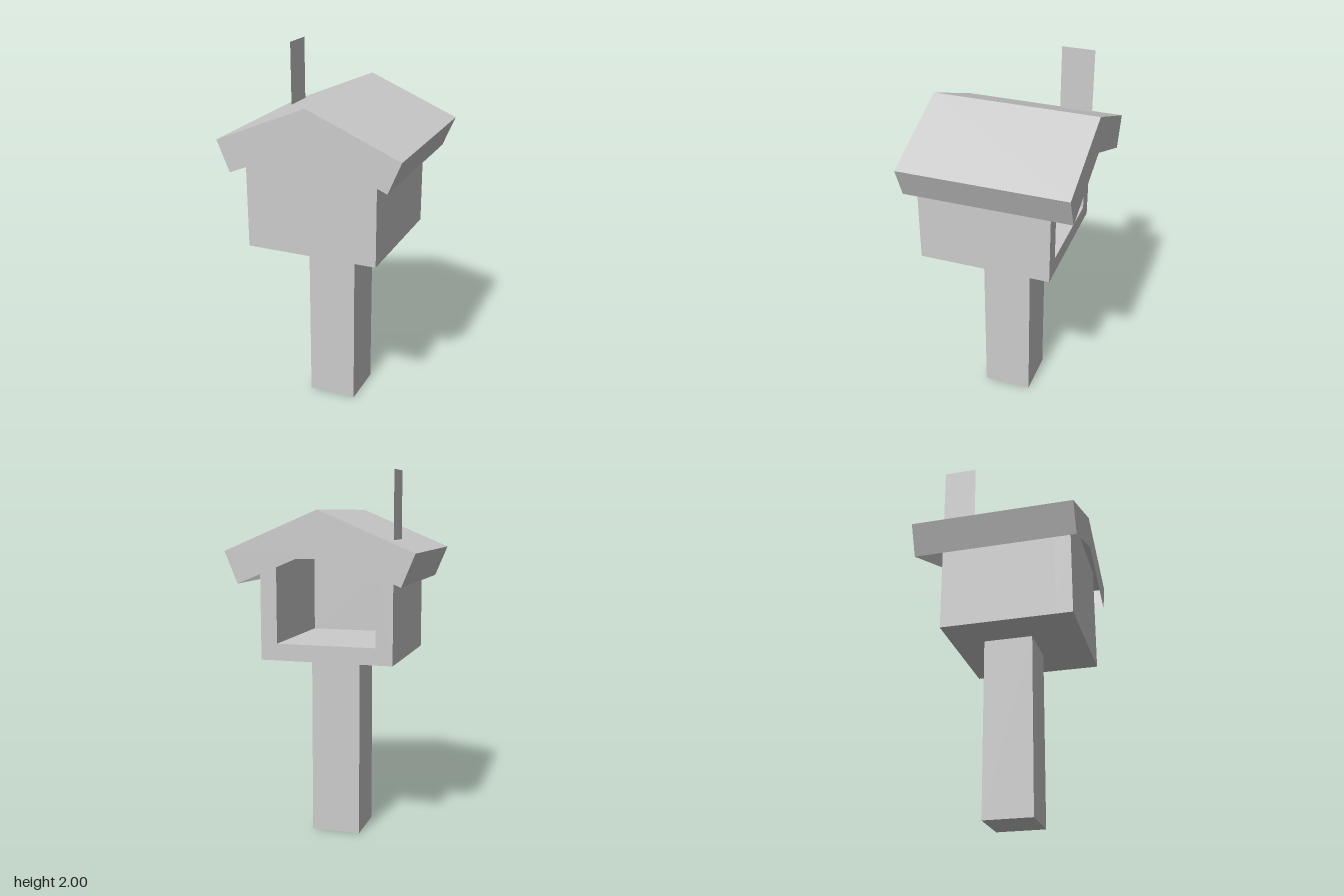
import * as THREE from 'three';

const U = 1 / 11; // building unit

export function createModel() {
  const model = new THREE.Group();
  model.name = 'postBox';
  const grey = new THREE.MeshStandardMaterial({ color: 0xcccccc, side: THREE.DoubleSide });
  grey.name = 'lightGrey';

  const add = (name, geometry, x = 0, y = 0, z = 0, parent = model) => {
    const mesh = new THREE.Mesh(geometry, grey);
    mesh.name = name;
    mesh.position.set(x, y, z);
    parent.add(mesh);
    return mesh;
  };

  // Square post
  add('post', new THREE.BoxGeometry(3 * U, 1, 3 * U), 0, 0.5, 0);

  // Box: a square tube open at the back, closed by a front wall
  const box = new THREE.Group();
  box.name = 'box';
  model.add(box);
  const rect = (shape, w, y0, y1) => {
    shape.moveTo(-w, y0).lineTo(w, y0).lineTo(w, y1).lineTo(-w, y1).closePath();
    return shape;
  };
  const tube = rect(new THREE.Shape(), 4 * U, 1, 1 + 7 * U);
  tube.holes.push(rect(new THREE.Path(), 3 * U, 1 + U, 1 + 6 * U));
  add('boxWalls', new THREE.ExtrudeGeometry(tube, { depth: 7 * U, bevelEnabled: false }), 0, 0, -3.5 * U, box);
  add('frontWall', new THREE.BoxGeometry(8 * U, 7 * U, U), 0, 1 + 3.5 * U, 4 * U, box);

  // Roof: slopes and eaves are one sheet, open underneath
  const roof = new THREE.Group();
  roof.name = 'roof';
  model.add(roof);
  const halfDepth = 5 * U;
  const profile = [[-0.435, 1.42], [-0.505, 1.588], [0, 1.8], [0.505, 1.588], [0.435, 1.42]];
  const sheet = [];
  for (let i = 0; i < profile.length - 1; i++) {
    const [a, b] = [profile[i], profile[i + 1]];
    const c = [[...a, halfDepth], [...b, halfDepth], [...b, -halfDepth], [...a, -halfDepth]];
    for (const k of [0, 1, 2, 0, 2, 3]) sheet.push(...c[k]);
  }
  const sheetGeometry = new THREE.BufferGeometry();
  sheetGeometry.setAttribute('position', new THREE.Float32BufferAttribute(sheet, 3));
  sheetGeometry.computeVertexNormals();
  add('roofSheet', sheetGeometry, 0, 0, 0, roof);

  // Chevron gable boards at both ends
  const chevron = new THREE.Shape([...profile, [0, 1.6]].map(([x, y]) => new THREE.Vector2(x, y)));
  add('frontGable', new THREE.ShapeGeometry(chevron), 0, 0, halfDepth, roof);
  add('backGable', new THREE.ShapeGeometry(chevron), 0, 0, -halfDepth, roof).rotation.y = Math.PI;

  // Flat flag standing over the box's side wall
  const flag = new THREE.PlaneGeometry(2 * U, 4 * U).rotateY(-Math.PI / 2);
  add('flag', flag, -4 * U, 2 - 2 * U, -2.5 * U);

  return model;
}
